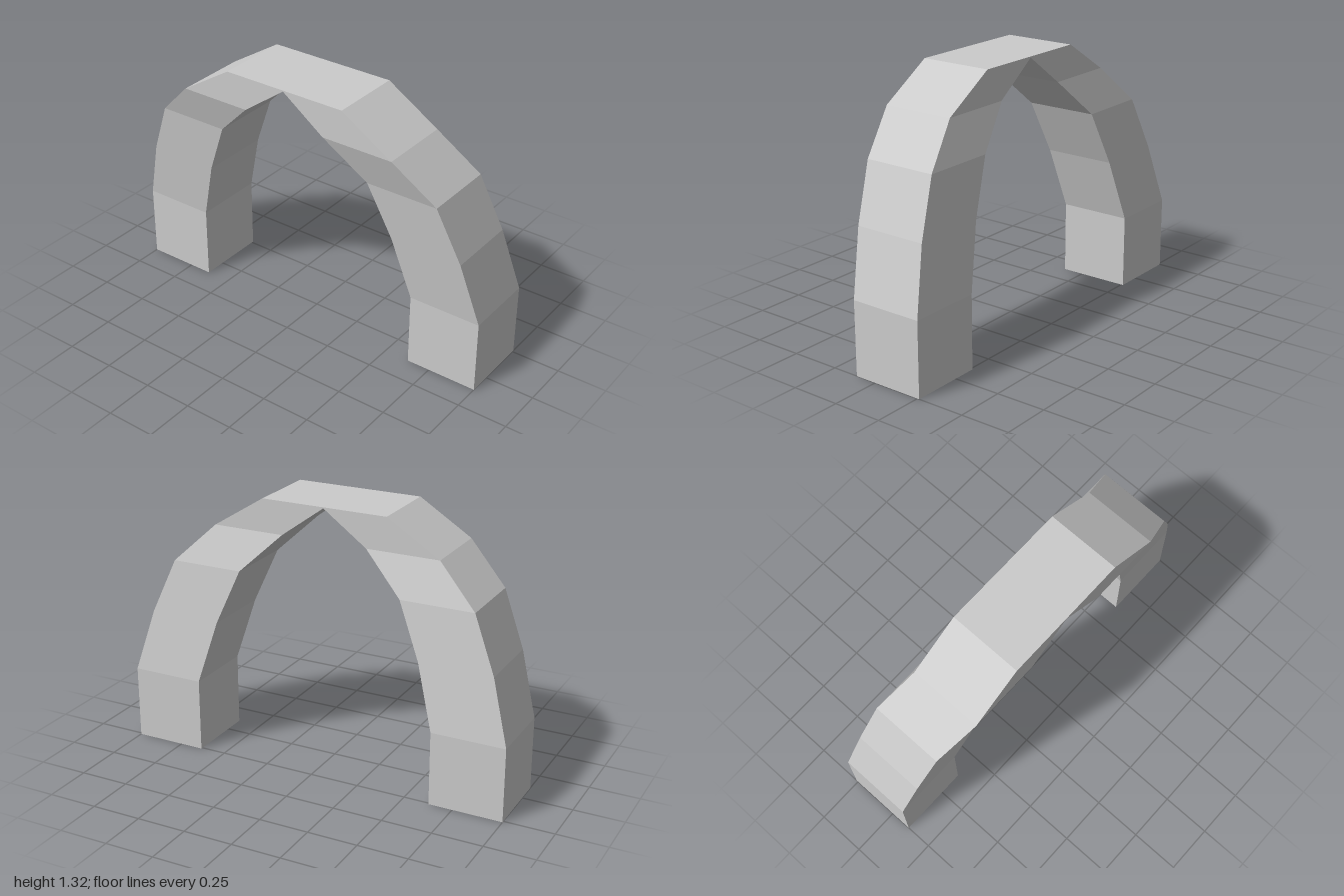
import * as THREE from 'three';

// Half of the arch, foot to crown: [outer x, outer y, inner x, inner y, back z, front z]
const HALF = [
  [1.0, 0, 0.63, 0, -0.26, 0.112],
  [1.0, 0.372, 0.63, 0.372, -0.26, 0.112],
  [0.91, 0.688, 0.54, 0.688, -0.216, 0.155],
  [0.795, 0.962, 0.425, 0.962, -0.18, 0.193],
  [0.592, 1.157, 0.222, 1.157, -0.116, 0.256],
  [0.325, 1.324, 0, 1.319, -0.116, 0.256],
];

// Four corners of a section: outer front, outer back, inner back, inner front
function ring([ox, oy, ix, iy, back, front], side) {
  return [
    [side * ox, oy, front], [side * ox, oy, back],
    [side * ix, iy, back], [side * ix, iy, front],
  ];
}

// Skin consecutive sections and cap both feet
function loft(rings) {
  const positions = [];
  const quad = (a, b, c, d) => positions.push(...a, ...b, ...c, ...a, ...c, ...d);
  for (let i = 0; i < rings.length - 1; i++) {
    const p = rings[i], q = rings[i + 1];
    for (let k = 0; k < 4; k++) {
      const n = (k + 1) % 4;
      // The inner edges meet at the crown, so there is no inner face there
      if (k === 2 && p[2][0] === 0 && q[2][0] === 0) continue;
      quad(p[k], p[n], q[n], q[k]);
    }
  }
  quad(...[...rings[0]].reverse());
  quad(...rings[rings.length - 1]);
  const geometry = new THREE.BufferGeometry();
  geometry.setAttribute('position', new THREE.Float32BufferAttribute(positions, 3));
  geometry.computeVertexNormals();
  return geometry;
}

export function createModel() {
  const group = new THREE.Group();
  group.name = 'archModel';
  // Up the left leg, across the crown and down the mirrored right leg
  const rings = [
    ...HALF.map((s) => ring(s, 1)),
    ...[...HALF].reverse().map((s) => ring(s, -1)),
  ];
  const arch = new THREE.Mesh(
    loft(rings),
    new THREE.MeshStandardMaterial({ color: 0xcccccc, flatShading: true }),
  );
  arch.name = 'arch';
  group.add(arch);
  return group;
}
